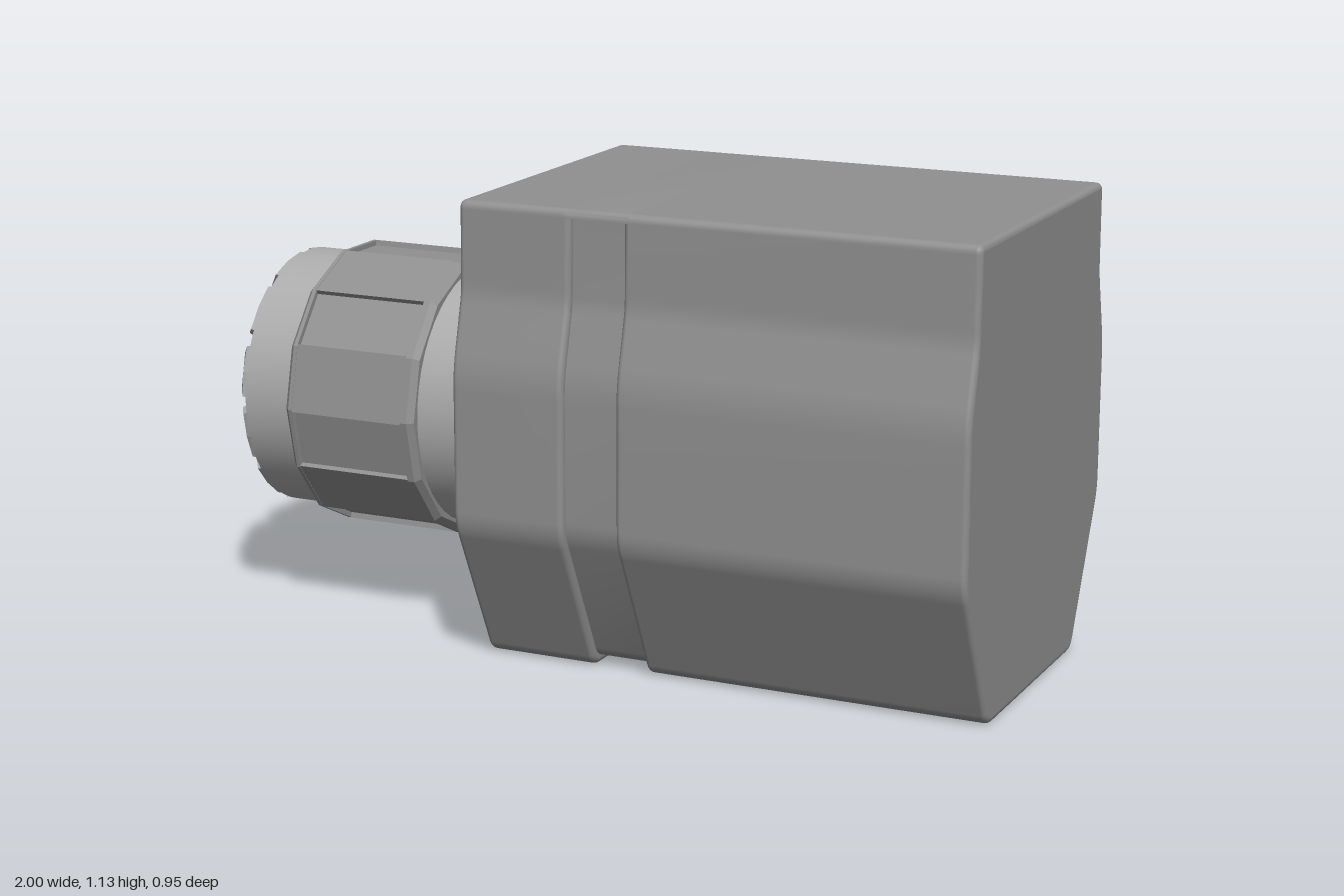
import * as THREE from 'three';
import { mergeVertices, toCreasedNormals } from 'three/addons/utils/BufferGeometryUtils.js';
import { ConvexGeometry } from 'three/addons/geometries/ConvexGeometry.js';

const dark = new THREE.MeshStandardMaterial({ color: 0x909090 });
const darkFlat = new THREE.MeshStandardMaterial({ color: 0x909090, flatShading: true });
const light = new THREE.MeshStandardMaterial({ color: 0xacacac });
const lightFlat = new THREE.MeshStandardMaterial({ color: 0xacacac, flatShading: true });
const AXIS_Y = 0.545, AXIS_Z = -0.033; // centre line of the cable gland

function add(parent, name, geometry, material) {
  const mesh = new THREE.Mesh(geometry, material);
  mesh.name = name;
  parent.add(mesh);
}

// Mirrored outline with softened corners; half = [halfWidth, y, cornerRadius] from bottom to top
function outline(half) {
  const pts = [...half, ...half.map(([x, y, r]) => [-x, y, r]).reverse()];
  const shape = new THREE.Shape();
  pts.forEach(([x, y, r], i) => {
    const p = new THREE.Vector2(x, y);
    const prev = pts[(i + pts.length - 1) % pts.length], next = pts[(i + 1) % pts.length];
    const toward = (q) => new THREE.Vector2(q[0], q[1]).sub(p).setLength(r).add(p);
    const a = toward(prev), b = toward(next);
    if (i === 0) shape.moveTo(a.x, a.y); else shape.lineTo(a.x, a.y);
    if (r > 0) shape.quadraticCurveTo(p.x, p.y, b.x, b.y);
  });
  shape.closePath();
  return shape;
}

// Extrude a shape along x, from x0 to x1, with rounded ends
function extrudeX(shape, x0, x1, bevel = 0) {
  const geo = new THREE.ExtrudeGeometry(shape, {
    depth: x1 - x0 - 2 * bevel, curveSegments: 5,
    bevelEnabled: bevel > 0, bevelThickness: bevel, bevelSize: bevel, bevelOffset: -bevel, bevelSegments: 4,
  });
  return geo.translate(0, 0, x0 + bevel).rotateY(Math.PI / 2);
}

// Area-weighted smooth normals: large faces stay flat, only the rounded edges blend
function weightedNormals(geo) {
  geo.deleteAttribute('uv');
  geo.deleteAttribute('normal');
  const merged = mergeVertices(geo, 1e-5);
  merged.computeVertexNormals();
  return merged;
}

// Lathe around the x axis; profile = [radius, x] running toward -x
function latheX(profile, segments) {
  const pts = profile.map(([r, x]) => new THREE.Vector2(r, -x));
  return new THREE.LatheGeometry(pts, segments).rotateZ(Math.PI / 2);
}

function buildHousing() {
  const housing = new THREE.Group();
  housing.name = 'housing';
  const shell = outline([
    [0.302, 0, 0.03], [0.477, 0.36, 0.035], [0.477, 0.735, 0.045], [0.433, 0.91, 0.025], [0.43, 1.127, 0.02],
  ]);
  add(housing, 'rearHousing', weightedNormals(extrudeX(shell, -0.27, 0.015, 0.014)), dark);
  add(housing, 'frontHousing', weightedNormals(extrudeX(shell, 0.15, 1, 0.014)), dark);
  // Recessed band between both halves, closed by a thin lip at the top
  const band = outline([
    [0.29, 0.02, 0.03], [0.459, 0.365, 0.035], [0.459, 0.73, 0.045], [0.415, 0.905, 0.025],
    [0.412, 1.106, 0], [0.43, 1.106, 0], [0.43, 1.1268, 0.02],
  ]);
  add(housing, 'recessedBand', toCreasedNormals(extrudeX(band, 0, 0.165), 0.4), dark);
  return housing;
}

function buildNut() {
  const nut = new THREE.Group();
  nut.name = 'clampingNut';
  const R = 0.354, step = Math.PI * 2 / 14;
  add(nut, 'nutInnerRim', latheX([[0.3, -0.468], [0.34, -0.468], [R, -0.482], [R, -0.5], [0.3, -0.5]], 14), darkFlat);
  add(nut, 'nutOuterRim', latheX([[0.3, -0.802], [R, -0.802], [R, -0.812], [0.34, -0.825], [0.3, -0.825]], 14), darkFlat);
  // Grip section: seven raised flats alternating with seven sunken panels
  const pts = [];
  for (let i = 0; i < 7; i++) {
    const mid = Math.PI / 2 + step * (2 * i + 1);
    const h = step * 0.53;
    for (const [r, a] of [[R - 0.014, -h], [R, -h], [R, h], [R - 0.014, h]]) {
      pts.push(new THREE.Vector2(r * Math.cos(mid + a), r * Math.sin(mid + a)));
    }
  }
  add(nut, 'nutGrip', extrudeX(new THREE.Shape(pts), -0.802, -0.5), darkFlat);
  return nut;
}

// One wedge of the slotted end, pointing along its mid angle, with a flat chamfer at the tip
function fingerGeometry(mid, count) {
  const half = Math.PI / count, pts = [];
  for (const [x, r, w] of [[-0.95, 0.323, 0.02], [-0.962, 0.323, 0.022], [-1, 0.265, 0.026]]) {
    const place = (rad, a) => pts.push(new THREE.Vector3(x, rad * Math.sin(a), rad * Math.cos(a)));
    const spread = half - Math.asin(w / r);
    place(0.035, mid);
    place(r, mid - spread);
    place(r, mid + spread);
    if (x > -1) place(r, mid);
  }
  return new ConvexGeometry(pts);
}

function buildGland() {
  const gland = new THREE.Group();
  gland.name = 'cableGland';
  gland.position.set(0, AXIS_Y, AXIS_Z);
  add(gland, 'collar', toCreasedNormals(latheX([[0.308, -0.25], [0.308, -0.272], [0.323, -0.287], [0.323, -0.49]], 48), 0.5), light);
  gland.add(buildNut());
  add(gland, 'endSleeve', toCreasedNormals(latheX([[0.323, -0.8], [0.323, -0.953], [0, -0.953]], 48), 0.5), light);
  const fingers = new THREE.Group();
  fingers.name = 'clampingFingers';
  const count = 12;
  for (let i = 0; i < count; i++) {
    const mid = (i + 0.5) * Math.PI * 2 / count - 0.035;
    add(fingers, 'finger' + (i + 1), fingerGeometry(mid, count), lightFlat);
  }
  gland.add(fingers);
  return gland;
}

export function createModel() {
  const model = new THREE.Group();
  model.name = 'connectorHousing';
  model.add(buildHousing(), buildGland());
  return model;
}
